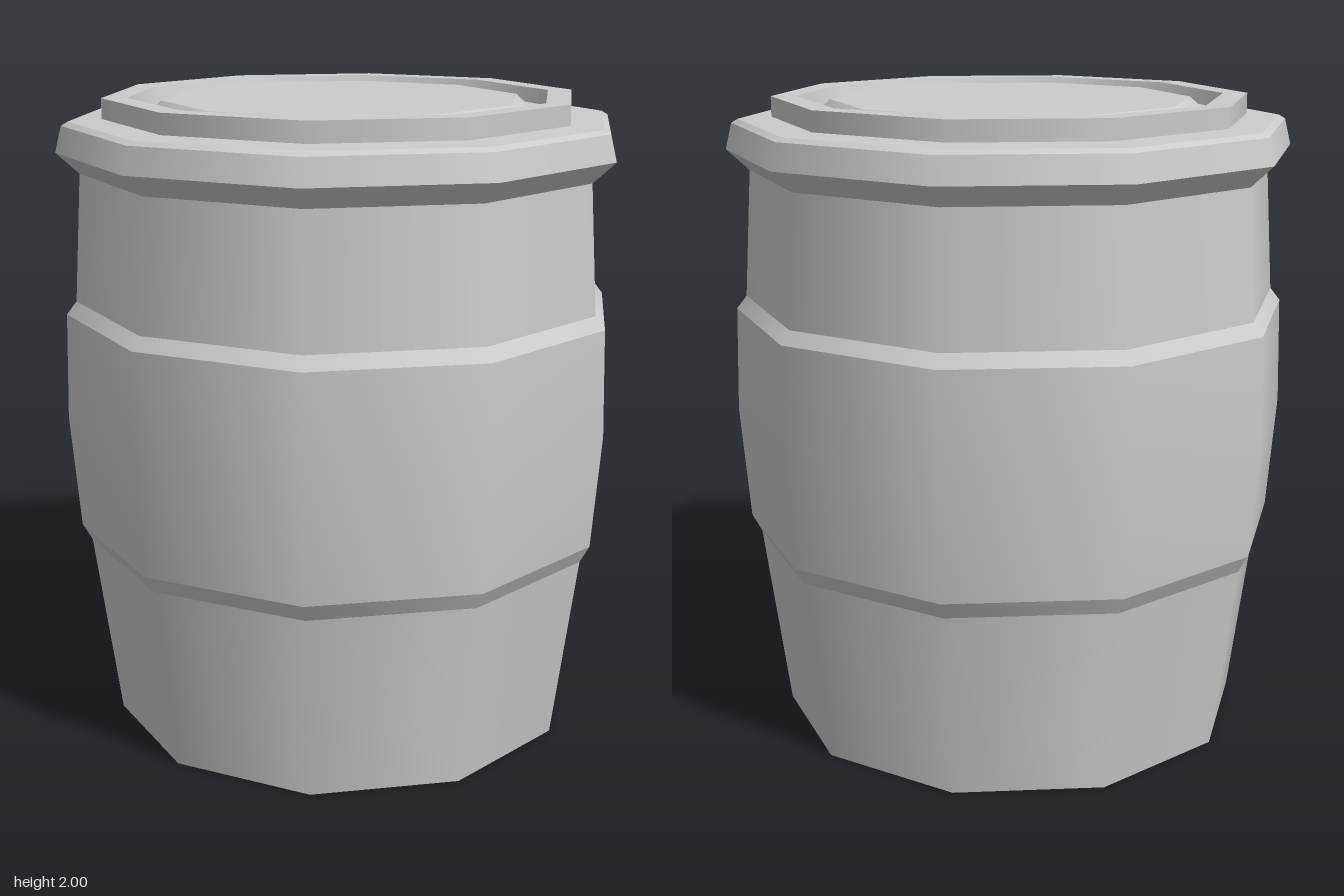
import * as THREE from 'three';
import { mergeGeometries } from 'three/addons/utils/BufferGeometryUtils.js';

const SIDES = 10;

// Ten-sided turned part: smooth around, sharp where one run of the profile meets the next.
function turned(name, runs, material) {
  const rings = runs.map((run) =>
    new THREE.LatheGeometry(run.map(([r, y]) => new THREE.Vector2(r, y)), SIDES, Math.PI / 2));
  const mesh = new THREE.Mesh(mergeGeometries(rings), material);
  mesh.name = name;
  return mesh;
}

// Splits a profile into single sharp-edged runs.
const sharp = (points) => points.slice(1).map((p, i) => [points[i], p]);

export function createModel() {
  const group = new THREE.Group();
  group.name = 'barrel';
  const grey = new THREE.MeshStandardMaterial({ color: 0xcccccc });

  // Closed base, tapered foot, bulging belly between two steps, and neck
  group.add(turned('body', [
    [[0, 0], [0.74, 0]],
    [[0.74, 0], [0.818, 0.595]],
    [[0.818, 0.595], [0.848, 0.65]],
    [[0.848, 0.65], [0.876, 1.01], [0.867, 1.34]],
    [[0.867, 1.34], [0.836, 1.38]],
    [[0.836, 1.38], [0.81, 1.775]],
  ], grey));

  // Overhanging rim with a chamfered top edge
  group.add(turned('rim', sharp([
    [0.81, 1.775], [0.88, 1.84], [0.86, 1.92], [0.84, 1.932], [0.737, 1.938],
  ]), grey));

  // Raised lid with a groove around its centre plate
  group.add(turned('lid', sharp([
    [0.737, 1.938], [0.737, 2], [0.66, 2], [0.645, 1.955],
    [0.597, 1.955], [0.557, 1.99], [0, 1.99],
  ]), grey));

  return group;
}
